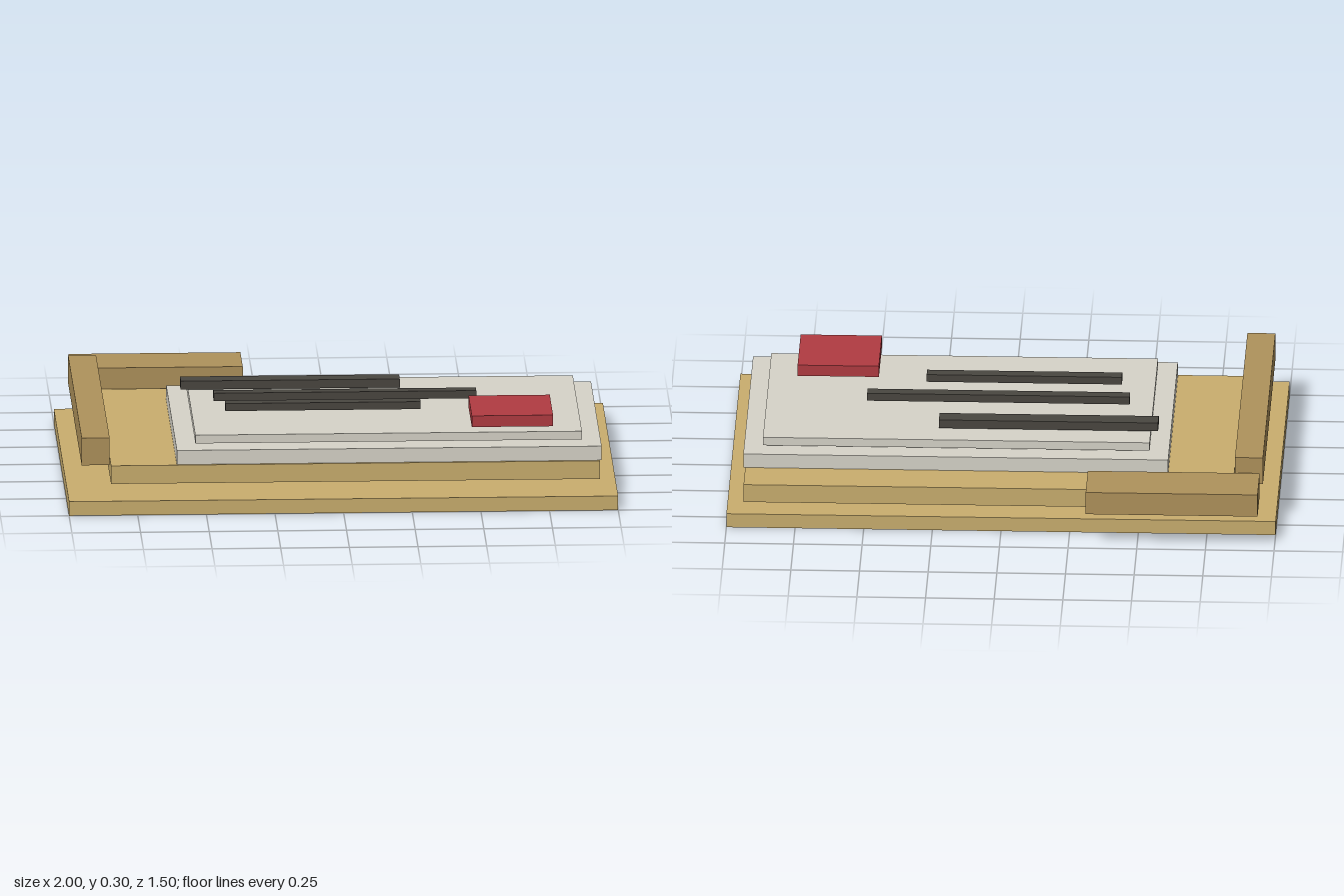
import * as THREE from 'three';

const material = (color) => new THREE.MeshStandardMaterial({ color });

export function createModel() {
  const model = new THREE.Group();
  const tan = material(0xcbaf6f);
  const wood = material(0xb0935c);
  const paper = material(0xd8d5ca);
  const ink = material(0x4a4741);
  const red = material(0xb23c42);

  // Box given by its [min, max] range along each axis
  const slab = (name, mat, [x0, x1], [y0, y1], [z0, z1]) => {
    const mesh = new THREE.Mesh(new THREE.BoxGeometry(x1 - x0, y1 - y0, z1 - z0), mat);
    mesh.position.set((x0 + x1) / 2, (y0 + y1) / 2, (z0 + z1) / 2);
    mesh.name = name;
    model.add(mesh);
  };

  // Stacked boards and sheets
  slab('baseBoard', tan, [-1, 1], [0, 0.053], [-0.597, 0.75]);
  slab('upperBoard', tan, [-0.84, 0.94], [0.074, 0.142], [-0.533, 0.58]);
  slab('lowerSheet', paper, [-0.6, 0.947], [0.142, 0.195], [-0.368, 0.572]);
  slab('upperSheet', paper, [-0.53, 0.878], [0.204, 0.235], [-0.303, 0.507]);

  // Side rail and rear block
  slab('sideRail', wood, [-0.951, -0.849], [0.17, 0.272], [-0.523, 0.676]);
  slab('rearBlock', wood, [-0.94, -0.314], [0.134, 0.219], [-0.75, -0.542]);

  // Dark strips on the sheet
  slab('backStrip', ink, [-0.557, 0.241], [0.24, 0.272], [-0.202, -0.135]);
  slab('middleStrip', ink, [-0.445, 0.511], [0.25, 0.279], [0.027, 0.072]);
  slab('frontStrip', ink, [-0.41, 0.301], [0.257, 0.285], [0.2, 0.247]);

  // Red tile
  slab('redTile', red, [0.476, 0.772], [0.26, 0.302], [0.232, 0.527]);

  return model;
}
